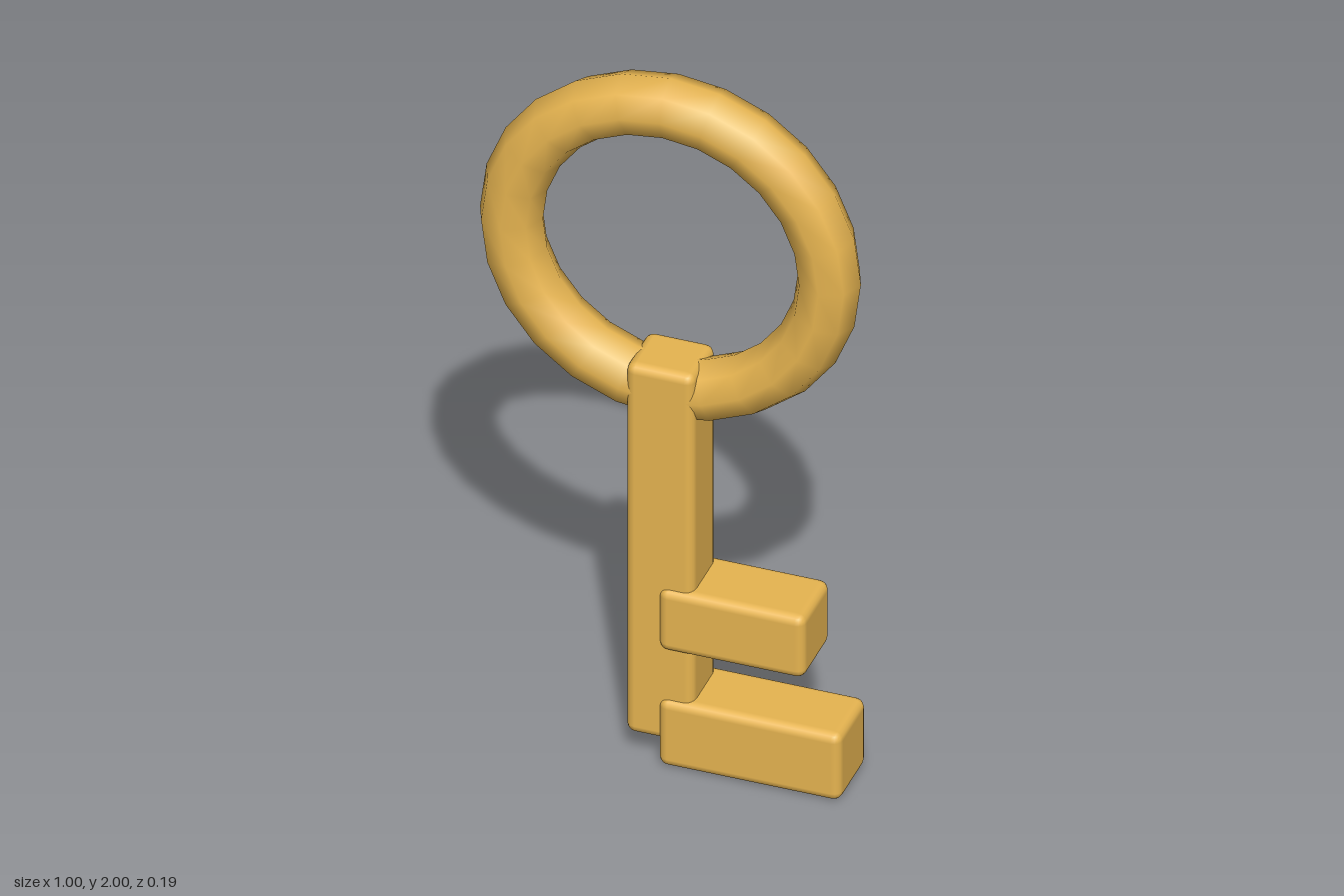
import * as THREE from 'three';
import { RoundedBoxGeometry } from 'three/addons/geometries/RoundedBoxGeometry.js';

export function createModel() {
  const key = new THREE.Group();
  key.name = 'key';
  const gold = new THREE.MeshStandardMaterial({ color: 0xe6b450 });

  // Softly bevelled bar given by its x and y limits and its depth
  const bar = (name, x0, x1, y0, y1, depth) => {
    const mesh = new THREE.Mesh(
      new RoundedBoxGeometry(x1 - x0, y1 - y0, depth, 2, 0.025), gold);
    mesh.position.set((x0 + x1) / 2, (y0 + y1) / 2, 0);
    mesh.name = name;
    key.add(mesh);
  };

  // Ring handle: eight-sided tube around 24 steps
  const ring = new THREE.Mesh(new THREE.TorusGeometry(0.4175, 0.0825, 8, 24), gold);
  ring.position.y = 1.5;
  ring.name = 'ringHandle';
  key.add(ring);

  // Shaft and the two teeth on its left side
  bar('shaft', -0.09, 0.09, 0.07, 1.175, 0.168);
  bar('upperTooth', 0, 0.385, 0.345, 0.53, 0.194);
  bar('lowerTooth', 0, 0.48, 0, 0.2, 0.194);

  return key;
}
